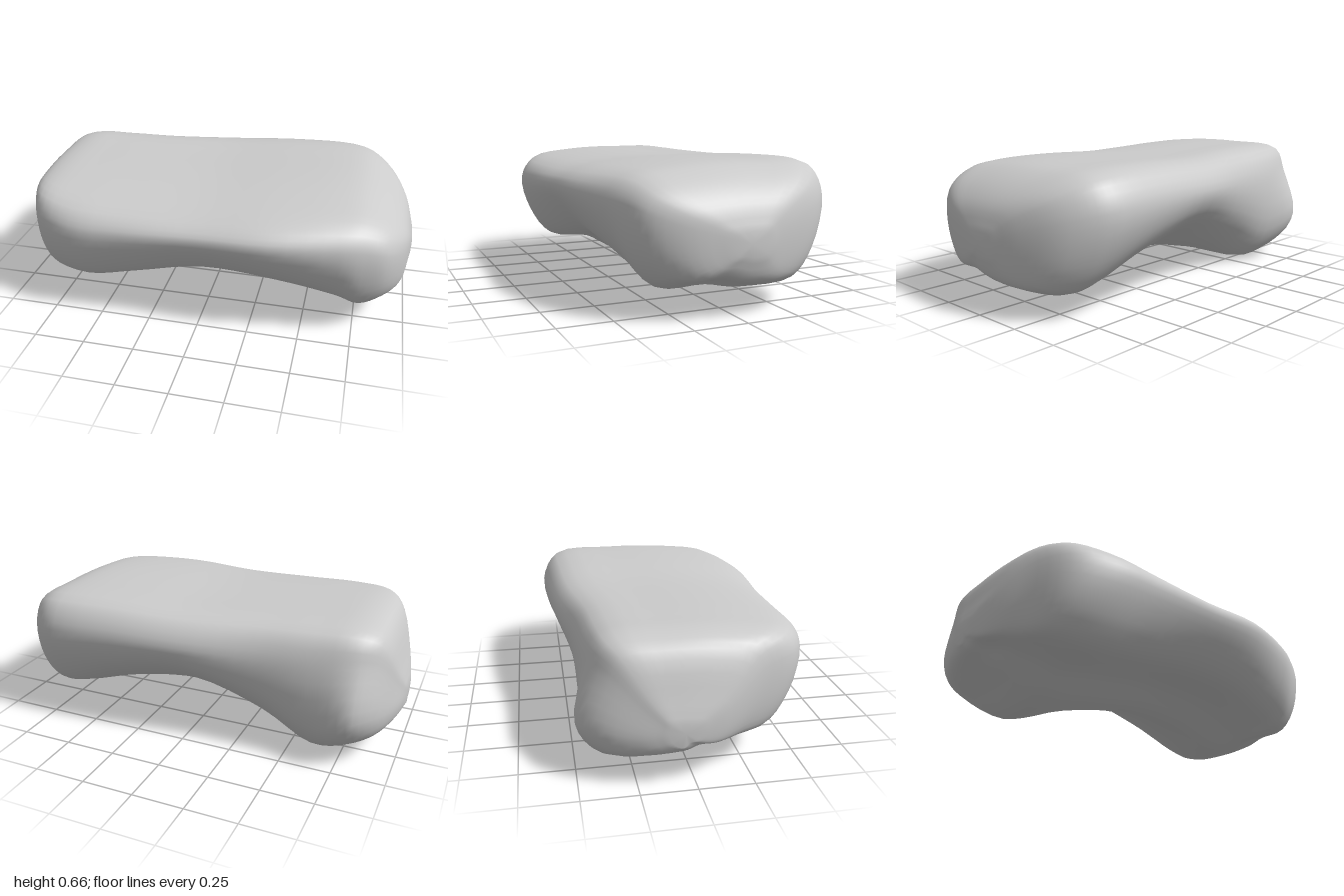
import * as THREE from 'three';

// Stations along the length:
// x, upper back z, lower back z, front z, top y, then underside y at back, keel and front
const STATIONS = [
  [-1.0, -0.13, -0.13, 0.0, 0.31, 0.22, 0.2, 0.23],
  [-0.97, -0.22, -0.26, 0.13, 0.41, 0.18, 0.17, 0.2],
  [-0.9, -0.36, -0.43, 0.29, 0.6, 0.14, 0.14, 0.19],
  [-0.8, -0.43, -0.51, 0.46, 0.645, 0.1, 0.1, 0.17],
  [-0.61, -0.46, -0.46, 0.55, 0.65, 0.01, 0.03, 0.15],
  [-0.35, -0.48, -0.45, 0.56, 0.645, 0.12, 0.07, 0.19],
  [0.0, -0.54, -0.5, 0.555, 0.64, 0.24, 0.135, 0.25],
  [0.35, -0.57, -0.53, 0.565, 0.655, 0.21, 0.13, 0.24],
  [0.66, -0.57, -0.52, 0.5, 0.655, 0.13, 0.08, 0.17],
  [0.77, -0.53, -0.49, 0.46, 0.635, 0.12, 0.09, 0.13],
  [0.88, -0.42, -0.4, 0.4, 0.575, 0.14, 0.13, 0.17],
  [0.96, -0.25, -0.23, 0.26, 0.49, 0.18, 0.17, 0.2],
  [1.0, -0.1, -0.1, 0.06, 0.38, 0.28, 0.27, 0.28],
];

// Control points of one cross-section: front, over the top, back, underneath
function section([x, zb, zl, zf, top, yb, keel, yf]) {
  const w = zf - zb;
  const h = top - keel;
  const middle = Math.max(0, 1 - 1.6 * x * x); // strength of the undercut mid-length
  const under = 0.13 + 0.05 * middle;
  const points = [
    [zf, top - 0.26 * h],
    [zf - 0.06 * w, top - (0.1 + 0.03 * middle) * h],
    [zf - 0.28 * w, top - 0.03 * h],
    [zb + 0.35 * w, top - 0.01 * h],
    [zb + 0.07 * w, top - 0.05 * h],
    [zb, top - 0.28 * h],
    [zl + 0.01 * w, yb + 0.27 * h],
    [zl + under * w, yb],
    [zb + 0.45 * w, keel],
    [zb + 0.63 * w, 0.75 * yf + 0.25 * keel],
    [zf - (under + 0.01) * w, yf],
    [zf - (0.03 + 0.03 * middle) * w, yf + 0.25 * h],
  ];
  return points.map(([z, y]) => new THREE.Vector3(x, y, z));
}

// Smooth closed skin: rails run lengthwise, closed rings run around them
function slabGeometry(along, around) {
  const sections = STATIONS.map(section);
  const rails = sections[0].map((_, i) => new THREE.CatmullRomCurve3(sections.map((s) => s[i])));
  const positions = [];
  const indices = [];
  const id = (i, j) => i * around + (j % around);

  for (let i = 0; i <= along; i++) {
    const ring = new THREE.CatmullRomCurve3(rails.map((r) => r.getPoint(i / along)), true);
    for (let j = 0; j < around; j++) positions.push(...ring.getPoint(j / around).toArray());
  }
  for (let i = 0; i < along; i++) {
    for (let j = 0; j < around; j++) {
      const a = id(i, j), b = id(i + 1, j), c = id(i + 1, j + 1), d = id(i, j + 1);
      indices.push(a, b, c, a, c, d);
    }
  }
  // Close both ends with a fan around the ring's centre
  for (const i of [0, along]) {
    const centre = new THREE.Vector3();
    for (let j = 0; j < around; j++) {
      centre.add(new THREE.Vector3().fromArray(positions, id(i, j) * 3));
    }
    centre.divideScalar(around);
    const c = positions.length / 3;
    positions.push(...centre.toArray());
    for (let j = 0; j < around; j++) {
      if (i === 0) indices.push(c, id(i, j), id(i, j + 1));
      else indices.push(c, id(i, j + 1), id(i, j));
    }
  }

  const geometry = new THREE.BufferGeometry();
  geometry.setAttribute('position', new THREE.Float32BufferAttribute(positions, 3));
  geometry.setIndex(indices);
  geometry.computeVertexNormals();
  return geometry;
}

export function createModel() {
  const model = new THREE.Group();
  model.name = 'rock';
  const slab = new THREE.Mesh(
    slabGeometry(48, 48),
    new THREE.MeshStandardMaterial({ color: 0xcccccc })
  );
  slab.name = 'rockSlab';
  // Rest the slab on the ground, centred
  slab.geometry.computeBoundingBox();
  const { min, max } = slab.geometry.boundingBox;
  slab.position.set(-(min.x + max.x) / 2, -min.y, -(min.z + max.z) / 2);
  model.add(slab);
  return model;
}
